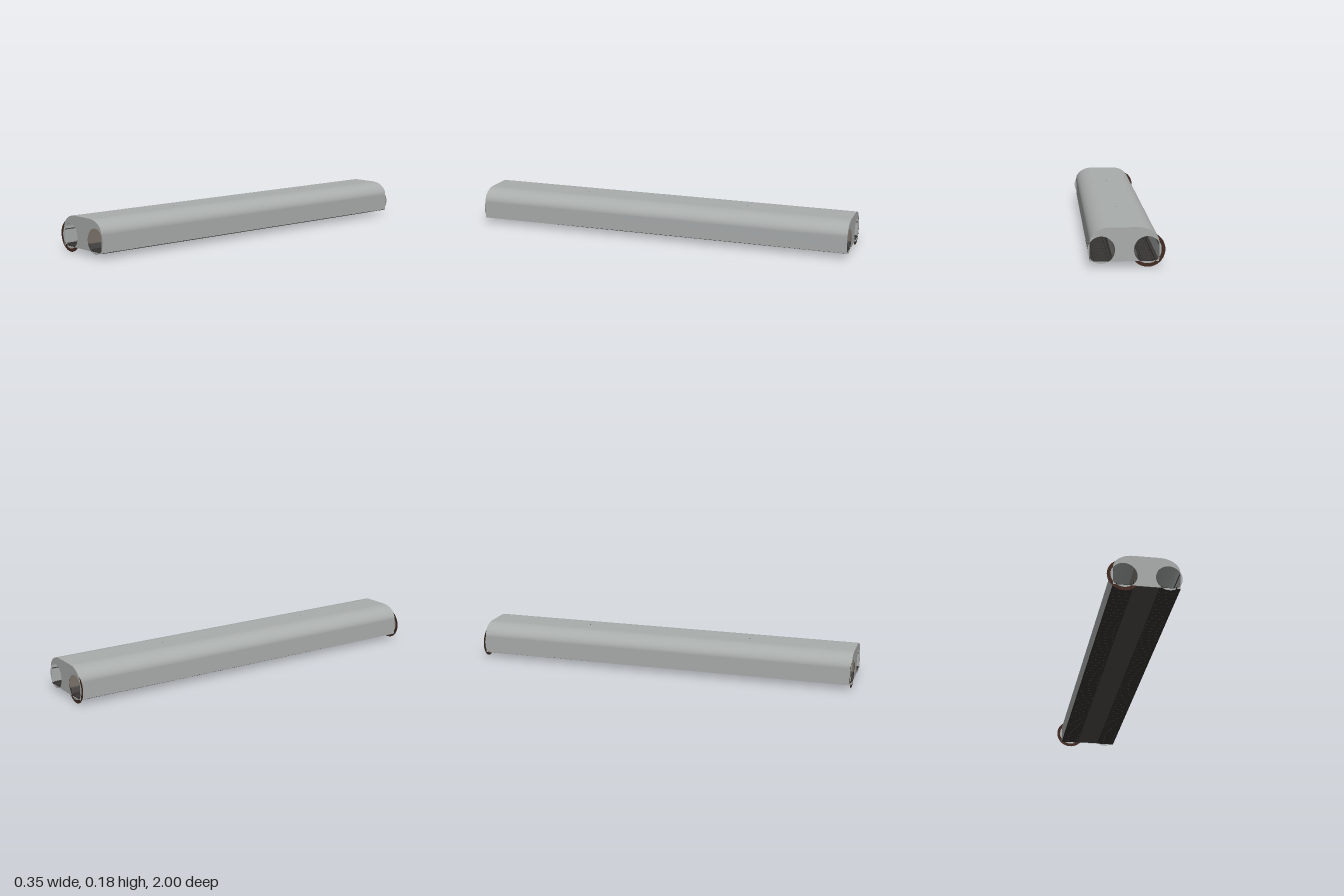
import * as THREE from 'three';

const mat = (name, color, double) => {
  const m = new THREE.MeshStandardMaterial({ color });
  m.name = name;
  if (double) m.side = THREE.DoubleSide;
  return m;
};

const HALF = 0.1575, FLOOR = 0.027, TOP = 0.183, SPRING = 0.115;
const BORE_X = 0.1055, BORE_Y = 0.079, BORE_R = 0.0625;
const CUT = Math.acos((HALF - BORE_X) / BORE_R); // where the bore crosses the wall
const DOWN = -Math.PI / 2;

// Vault outline from lower left over the roof to lower right
function outline() {
  const pts = [[-HALF, FLOOR]];
  const rx = HALF - 0.0625, ry = TOP - SPRING, n = 20;
  for (let i = 0; i <= n; i++) {
    const a = Math.PI - (i / n) * Math.PI / 2;
    pts.push([-0.0625 + rx * Math.cos(a), SPRING + ry * Math.sin(a)]);
  }
  const right = pts.slice().reverse().map(([x, y]) => [-x, y]);
  return pts.concat(right).map(([x, y]) => new THREE.Vector2(x, y));
}

// Points on a bore circle; side is +1 or -1
function arc(side, from, to, n = 40) {
  return Array.from({ length: n + 1 }, (_, i) => {
    const a = from + (to - from) * i / n;
    return new THREE.Vector2(side * (BORE_X + BORE_R * Math.cos(a)), BORE_Y + BORE_R * Math.sin(a));
  });
}

export function createModel() {
  const grey = mat('concrete grey', 0xa9adac, true);
  const brown = mat('dark brown', 0x432c23, true);
  const bedDark = mat('track bed black', 0x373431);
  const walkGrey = mat('walkway grey', 0x4e4d4b);
  const wallTone = mat('inner wall taupe', 0x7a7369);
  const railDark = mat('rail dark', 0x3a3836);

  const model = new THREE.Group();
  model.name = 'twinTunnel';
  const body = new THREE.Group();
  body.name = 'tunnelSection';
  body.position.x = 0.0075;
  model.add(body);

  const add = (name, geo, material, x = 0, y = 0, z = 0) => {
    const mesh = new THREE.Mesh(geo, material);
    mesh.name = name;
    mesh.position.set(x, y, z);
    body.add(mesh);
    return mesh;
  };
  const box = (name, w, y0, y1, d, material, x, z = 0) =>
    add(name, new THREE.BoxGeometry(w, y1 - y0, d), material, x, (y0 + y1) / 2, z);

  // Vault shell: a strip bent over the outline
  const pts = outline();
  const shell = new THREE.PlaneGeometry(1, 2, pts.length - 1, 1);
  const pos = shell.attributes.position;
  for (let i = 0; i < pos.count; i++) {
    const p = pts[i % pts.length];
    pos.setXYZ(i, p.x, p.y, -pos.getY(i));
  }
  shell.computeVertexNormals();
  add('vaultShell', shell, grey);

  // Portal faces with the two bores cut away at wall and floor
  const roof = pts.slice(1, -1);
  const faces = [new THREE.Shape([
    ...arc(1, DOWN - (Math.PI / 2 - (DOWN + Math.PI)) - CUT + Math.PI / 2 - Math.PI / 2, CUT - 2 * Math.PI),
    ...roof.slice().reverse(),
    ...arc(-1, CUT, Math.PI * 1.5 - CUT),
  ])];
  for (const s of [-1, 1]) {
    // Bulges past the wall and the floor, and the leftover corner
    faces.push(new THREE.Shape(arc(s, -CUT, CUT, 16)));
    faces.push(new THREE.Shape(arc(s, DOWN - CUT, DOWN + CUT, 16)));
    faces.push(new THREE.Shape([new THREE.Vector2(s * HALF, FLOOR), ...arc(s, DOWN + CUT, -CUT, 8)]));
  }
  // Main face starts at the floor beside the right bore
  faces[0] = new THREE.Shape([
    ...arc(1, Math.PI * 1.5 - CUT, CUT),
    ...roof.slice().reverse(),
    ...arc(-1, CUT, Math.PI * 1.5 - CUT),
  ]);
  const portal = new THREE.ShapeGeometry(faces);
  for (const z of [-1, 1]) {
    add('portalFace', portal, grey, 0, 0, z);
    // Brown lining ring just behind the portal, on one bore
    add('liningRing', new THREE.RingGeometry(0.063, 0.08, 64), brown, -BORE_X, 0.08, z * 0.998);
  }

  // Floor, centre wall and walkways
  for (const s of [-1, 1]) box('trackBed', 0.098, FLOOR, 0.03, 1.996, bedDark, s * 0.1085);
  box('walkway', 0.119, FLOOR + 0.001, 0.06, 1.99, walkGrey, 0);
  box('centreWall', 0.08, 0.06, 0.176, 1.99, wallTone, 0);

  // Tracks: sleepers, running rails and guard rails
  const sleeper = new THREE.BoxGeometry(0.084, 0.005, 0.012);
  for (const s of [-1, 1]) {
    const cx = s * BORE_X;
    for (let i = 0; i < 60; i++) add('sleeper', sleeper, railDark, cx, 0.029, -0.983 + i * 1.966 / 59);
    for (const r of [-1, 1]) {
      box('runningRail', 0.003, 0.03, 0.039, 1.99, railDark, cx + r * 0.034);
      box('guardRail', 0.002, 0.03, 0.034, 1.99, railDark, cx + r * 0.024);
    }
    // Cable along the outer wall
    box('wallCable', 0.003, 0.103, 0.107, 1.99, railDark, s * 0.1555);
  }

  // Small roof markers
  for (const z of [-0.445, 0.445]) box('roofMarker', 0.003, 0.182, 0.1845, 0.004, railDark, 0, z);

  return model;
}
